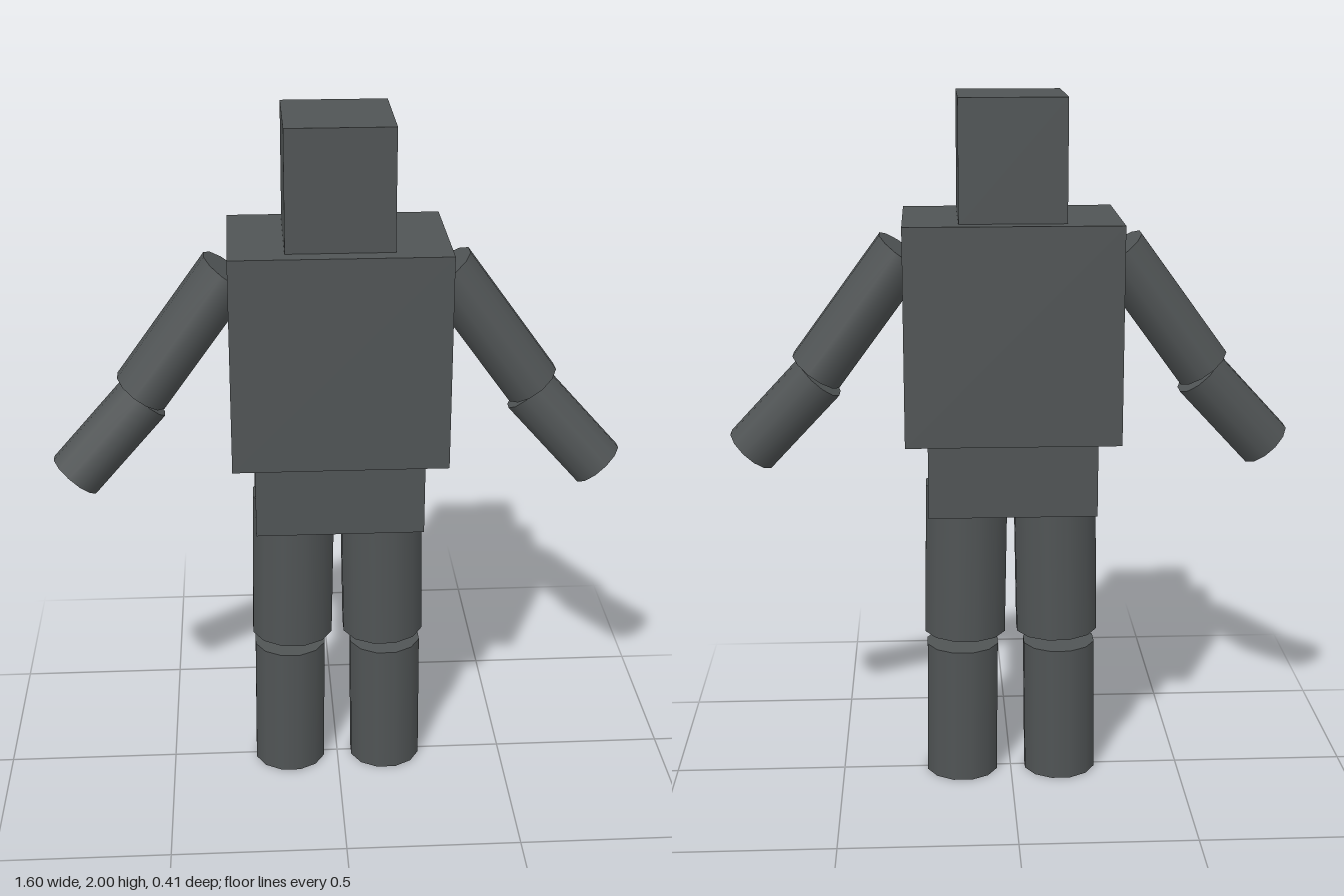
import * as THREE from 'three';

export function createModel() {
  const group = new THREE.Group();
  const darkGrey = new THREE.MeshStandardMaterial({ color: 0x505455 });
  darkGrey.name = 'dark grey';

  function add(name, geometry) {
    const mesh = new THREE.Mesh(geometry, darkGrey);
    mesh.name = name;
    group.add(mesh);
    return mesh;
  }

  // Box spanning y0..y1, centred on x and z
  function block(name, width, depth, y0, y1) {
    add(name, new THREE.BoxGeometry(width, y1 - y0, depth)).position.y = (y0 + y1) / 2;
  }

  // Twelve-sided limb from one joint to the next, with an oval section
  function limb(name, from, to, radius, radiusZ) {
    const a = new THREE.Vector3(...from);
    const b = new THREE.Vector3(...to);
    const axis = a.clone().sub(b);
    const geometry = new THREE.CylinderGeometry(1, 1, axis.length(), 12);
    geometry.rotateY(Math.PI / 12);
    geometry.scale(radius, 1, radiusZ);
    const mesh = add(name, geometry);
    mesh.position.copy(a).add(b).multiplyScalar(0.5);
    mesh.quaternion.setFromUnitVectors(new THREE.Vector3(0, 1, 0), axis.normalize());
  }

  // Head and body
  block('head', 0.295, 0.32, 1.66, 2);
  block('torso', 0.6, 0.415, 1.055, 1.665);
  block('pelvis', 0.475, 0.34, 0.84, 1.056);

  // Arms and legs, mirrored
  for (const [side, s] of [['left', 1], ['right', -1]]) {
    limb(side + 'UpperArm', [0.3 * s, 1.57, 0], [0.55 * s, 1.228, 0.015], 0.082, 0.1);
    limb(side + 'Forearm', [0.542 * s, 1.21, 0.017], [0.745 * s, 0.989, 0.05], 0.079, 0.078);
    limb(side + 'Thigh', [0.127 * s, 0.895, 0], [0.135 * s, 0.447, 0], 0.121, 0.121);
    limb(side + 'Shin', [0.142 * s, 0.406, 0], [0.146 * s, 0.002, 0], 0.107, 0.106);
  }
  return group;
}
